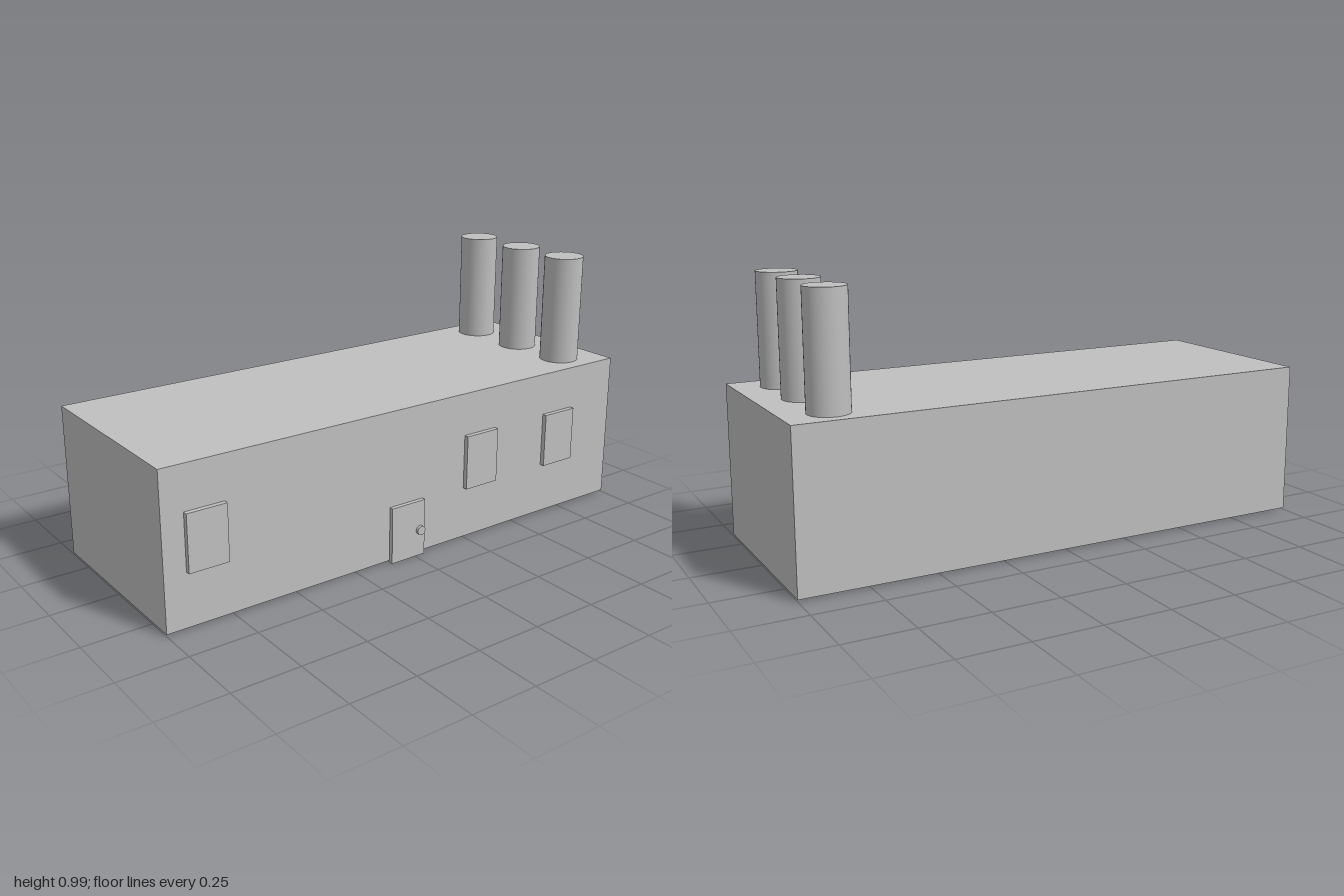
import * as THREE from 'three';

export function createModel() {
  const group = new THREE.Group();
  const grey = new THREE.MeshStandardMaterial({ color: 0xbfbfbf });
  grey.name = 'light grey';

  function add(name, geometry, x, y, z) {
    const mesh = new THREE.Mesh(geometry, grey);
    mesh.name = name;
    mesh.position.set(x, y, z);
    group.add(mesh);
    return mesh;
  }

  // Box given by its lower and upper corners
  function block(name, [x0, y0, z0], [x1, y1, z1]) {
    return add(name, new THREE.BoxGeometry(x1 - x0, y1 - y0, z1 - z0),
      (x0 + x1) / 2, (y0 + y1) / 2, (z0 + z1) / 2);
  }

  // Factory hall
  block('building', [-0.38, 0.007, -1], [0.352, 0.575, 1]);

  // Row of chimneys at the back
  [-0.265, -0.013, 0.225].forEach((x, i) => {
    add('chimney' + (i + 1), new THREE.CylinderGeometry(0.074, 0.074, 0.422, 40), x, 0.776, -0.835);
  });

  // Windows standing proud of the left wall
  [0.845, -0.313, -0.71].forEach((z, i) => {
    block('window' + (i + 1), [0.333, 0.205, z - 0.074], [0.37, 0.413, z + 0.074]);
  });

  // Door with a round knob
  block('door', [0.33, 0, -0.043], [0.368, 0.215, 0.105]);
  const knob = add('doorKnob', new THREE.CylinderGeometry(0.017, 0.017, 0.022, 24), 0.368, 0.101, -0.021);
  knob.rotation.z = -Math.PI / 2;

  return group;
}
